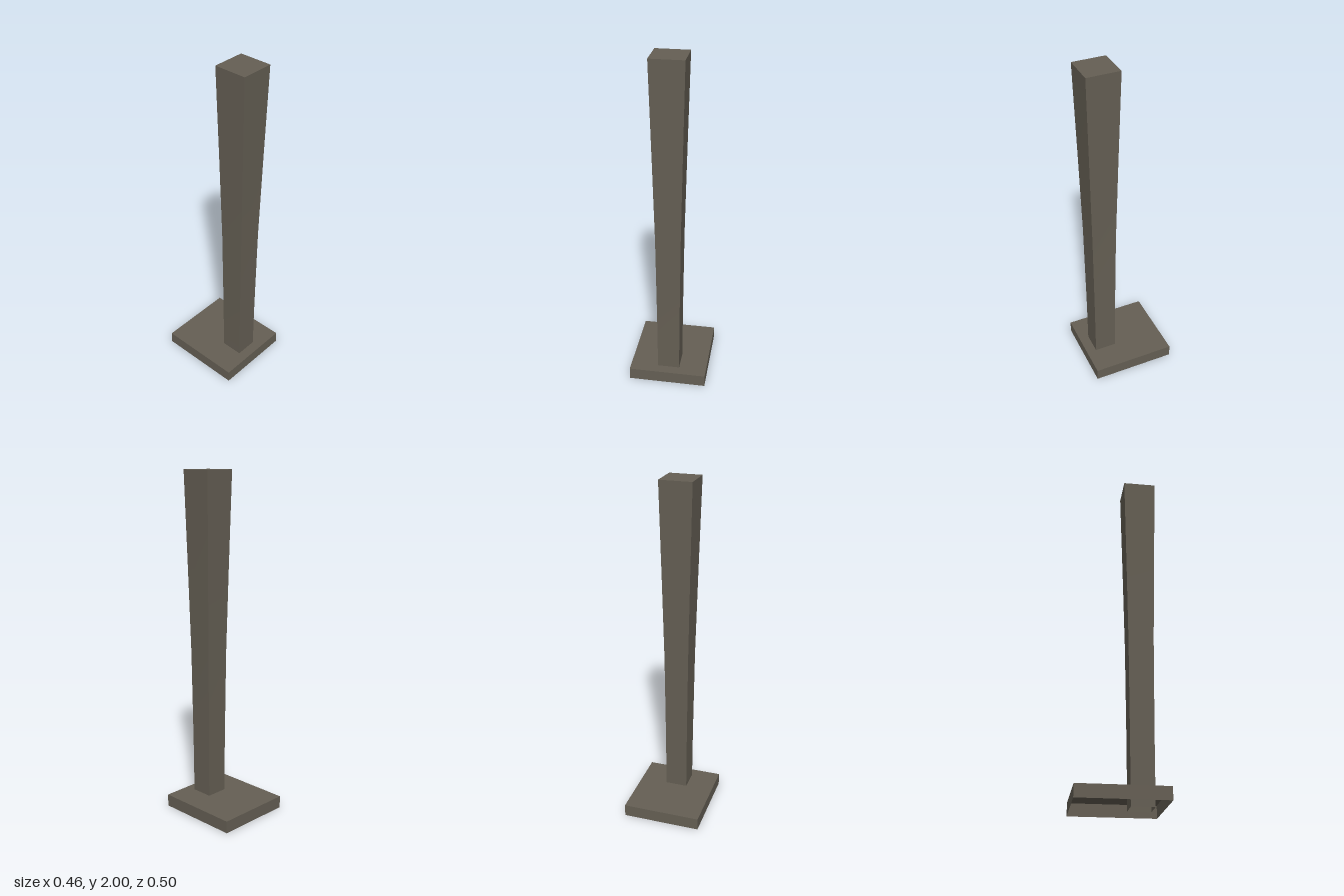
import * as THREE from 'three';

const material = new THREE.MeshStandardMaterial({ color: 0x655f54, side: THREE.DoubleSide });

// Box shell without its underside
function openBox(w, h, d, rows = 1) {
  const geo = new THREE.BoxGeometry(w, h, d, 1, rows, 1);
  const { start, count } = geo.groups[3];
  const index = Array.from(geo.index.array);
  index.splice(start, count);
  geo.setIndex(index);
  geo.clearGroups();
  return geo;
}

function addPart(group, name, geo, y, z) {
  const mesh = new THREE.Mesh(geo, material);
  mesh.name = name;
  mesh.position.set(0, y, z);
  group.add(mesh);
}

export function createModel() {
  const group = new THREE.Group();
  group.name = 'squarePost';

  // Foot plate: shallow tray, open below
  const plateHeight = 0.072;
  addPart(group, 'basePlate', openBox(0.46, plateHeight, 0.5), plateHeight / 2, 0);

  // Post: square section flaring gently upwards, [height, half width]
  const profile = [[0, 0.065], [0.4, 0.067], [0.95, 0.0725], [1.45, 0.083], [2, 0.0955]];
  const rows = profile.length - 1;
  const post = openBox(2, 1, 2, rows);
  const pos = post.attributes.position;
  for (let i = 0; i < pos.count; i++) {
    const [y, half] = profile[Math.round((pos.getY(i) + 0.5) * rows)];
    pos.setXYZ(i, pos.getX(i) * half, y, pos.getZ(i) * half);
  }
  post.computeVertexNormals();
  addPart(group, 'post', post, 0, 0.125);

  return group;
}
